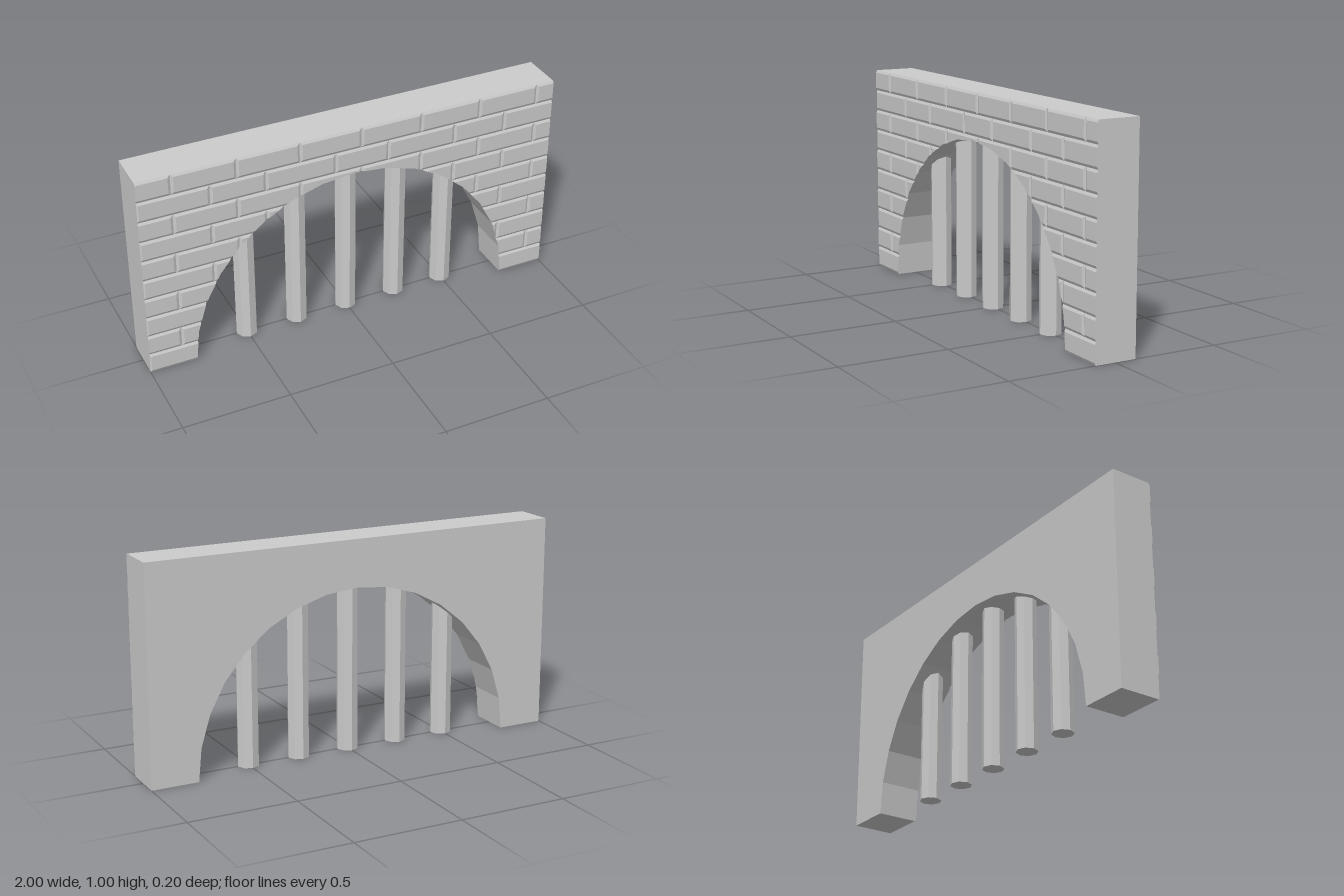
import * as THREE from 'three';

const R = 0.78, SEGMENTS = 16, STEP = Math.PI / SEGMENTS;
const FRONT = 0.1, BED = 0.094, BEVEL = 0.012, COURSE = 0.1;

// Keep the part of a convex polygon where f(point) >= 0
function clip(poly, f) {
  const out = [];
  poly.forEach((p, i) => {
    const q = poly[(i + 1) % poly.length], a = f(p), b = f(q);
    if (a >= 0) out.push(p);
    if ((a > 0 && b < 0) || (a < 0 && b > 0)) out.push(p.clone().lerp(q, a / (a - b)));
  });
  return out;
}

// Joint positions along a course; the two courses alternate
function joints(row) {
  const xs = [];
  if (row % 2) for (let k = -1; k < 8; k++) xs.push(-0.845 + 0.293 * k);
  else for (let k = -1; k < 4; k++) xs.push(-0.675 + 0.585 * k, -0.42 + 0.585 * k);
  return xs;
}

// A bevelled brick as five quads: the face and its four sloping sides
function brickQuads(x0, x1, y0, y1) {
  const ring = (inset, z) => [
    new THREE.Vector3(x0 + inset, y0 + inset, z), new THREE.Vector3(x1 - inset, y0 + inset, z),
    new THREE.Vector3(x1 - inset, y1 - inset, z), new THREE.Vector3(x0 + inset, y1 - inset, z)];
  const outer = ring(0, BED), inner = ring(BEVEL, FRONT);
  const quads = [inner];
  for (let i = 0; i < 4; i++) {
    const j = (i + 1) % 4;
    quads.push([outer[i], outer[j], inner[j], inner[i]]);
  }
  return quads;
}

// Brick facing, trimmed to the wall ends and the faceted arch
function brickFacing() {
  const pos = [];
  const fan = (poly) => {
    for (let i = 1; i < poly.length - 1; i++)
      for (const p of [poly[0], poly[i], poly[i + 1]]) pos.push(p.x, p.y, p.z);
  };
  const addTrimmed = (quad) => {
    const ends = [(p) => 1 - p.x, (p) => 1 + p.x];
    const base = ends.reduce(clip, quad);
    for (let s = 0; s < SEGMENTS; s++) {
      const a = s * STEP, b = a + STEP, m = a + STEP / 2;
      const chord = (p) => p.x * Math.cos(m) + p.y * Math.sin(m) - R * Math.cos(STEP / 2);
      const poly = [
        (p) => p.y * Math.cos(a) - p.x * Math.sin(a),
        (p) => p.x * Math.sin(b) - p.y * Math.cos(b),
        chord].reduce(clip, base);
      if (poly.length < 3) continue;
      fan(poly);
      // Close the rim where the brick is cut
      poly.forEach((p, i) => {
        const q = poly[(i + 1) % poly.length];
        if (![...ends, chord].some((f) => Math.abs(f(p)) < 1e-6 && Math.abs(f(q)) < 1e-6)) return;
        fan([q, p, p.clone().setZ(BED), q.clone().setZ(BED)]);
      });
    }
  };
  for (let row = 0; row < 10; row++) {
    const xs = joints(row);
    for (let i = 0; i < xs.length - 1; i++) {
      if (xs[i + 1] <= -1 || xs[i] >= 1) continue;
      brickQuads(xs[i], xs[i + 1], row * COURSE, (row + 1) * COURSE).forEach(addTrimmed);
    }
  }
  const geo = new THREE.BufferGeometry();
  geo.setAttribute('position', new THREE.Float32BufferAttribute(pos, 3));
  geo.computeVertexNormals();
  return geo;
}

// Plain wall with the arch cut out of its foot
function wallBody() {
  const shape = new THREE.Shape();
  shape.moveTo(-1, 0);
  for (let i = SEGMENTS; i >= 0; i--) shape.lineTo(R * Math.cos(i * STEP), i % SEGMENTS ? R * Math.sin(i * STEP) : 0);
  shape.lineTo(1, 0);
  shape.lineTo(1, 1);
  shape.lineTo(-1, 1);
  const geo = new THREE.ExtrudeGeometry(shape, { depth: BED + 0.1, bevelEnabled: false });
  return geo.translate(0, 0, -0.1);
}

export function createModel() {
  const group = new THREE.Group();
  group.name = 'barredArch';
  const material = new THREE.MeshStandardMaterial({ color: 0xcccccc, flatShading: true });
  const add = (geo, name) => {
    const mesh = new THREE.Mesh(geo, material);
    mesh.name = name;
    group.add(mesh);
    return mesh;
  };

  add(wallBody(), 'wall');
  add(brickFacing(), 'brickFacing');

  // Octagonal bars running up into the arch
  for (let i = -2; i <= 2; i++) {
    const x = i * 0.25;
    const height = Math.sqrt(R * R - x * x) + 0.05;
    add(new THREE.CylinderGeometry(0.05, 0.05, height, 8), 'bar' + (i + 3)).position.set(x, height / 2, 0);
  }
  return group;
}
